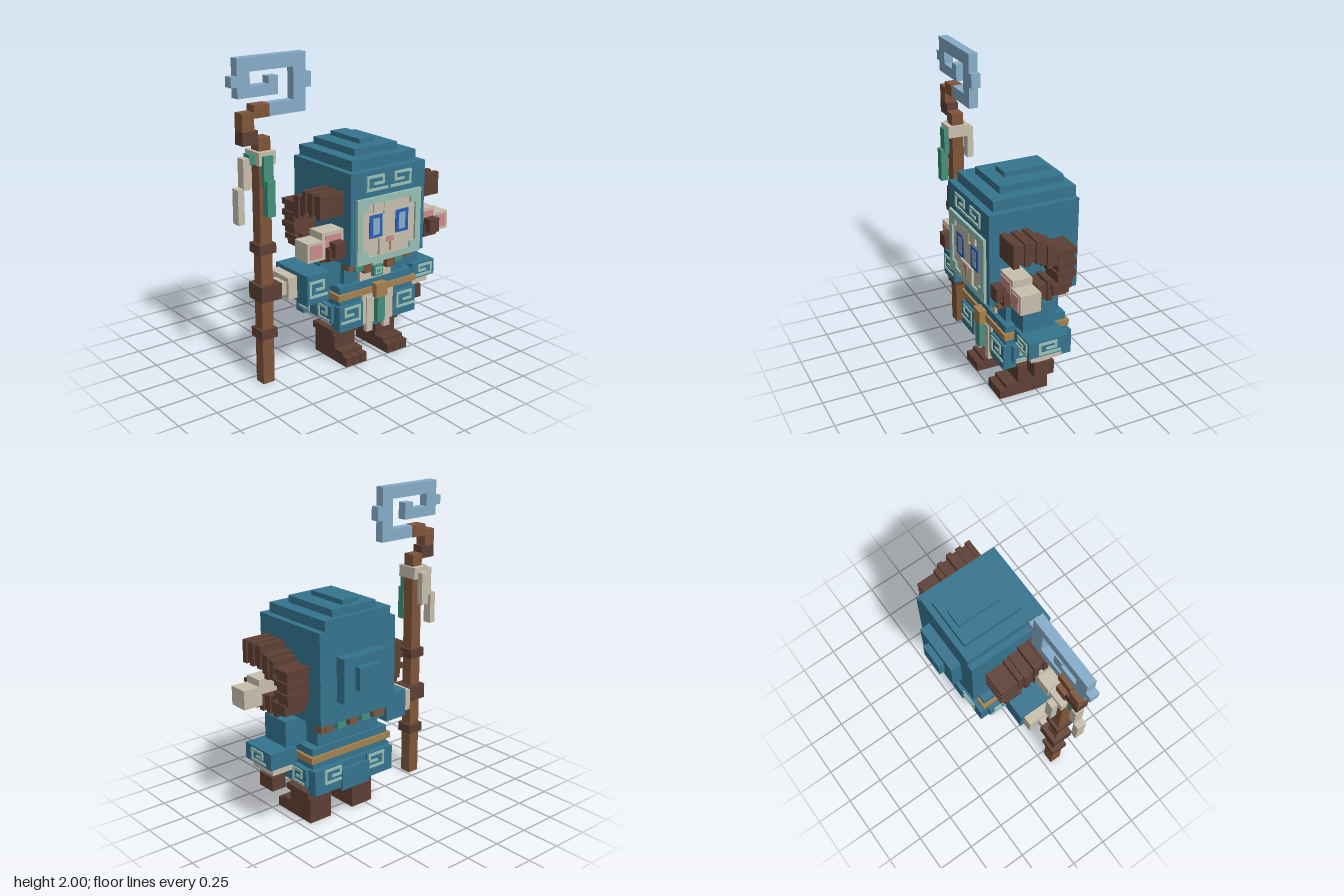
import * as THREE from 'three';

const mat = (name, color) => {
  const m = new THREE.MeshStandardMaterial({ color });
  m.name = name;
  return m;
};

export function createModel() {
  const teal = mat('teal cloth', 0x35748f), mint = mat('mint trim', 0x98c0b5);
  const cream = mat('cream', 0xc8c0ae), pink = mat('pink', 0xcb8c8c);
  const dark = mat('dark brown', 0x5e4035), wood = mat('wood brown', 0x805539);
  const green = mat('jade green', 0x43907c), gold = mat('gold', 0xa5824f);
  const sky = mat('light blue', 0x86adc9), royal = mat('royal blue', 0x2a5fb8);

  const model = new THREE.Group();
  model.name = 'hoodedFigureWithStaff';
  const section = (name, x = 0) => {
    const g = new THREE.Group();
    g.name = name;
    g.position.x = x;
    model.add(g);
    return g;
  };
  // Box given by its limits on each axis
  const box = (p, name, m, x0, x1, y0, y1, z0, z1) => {
    const mesh = new THREE.Mesh(new THREE.BoxGeometry(x1 - x0, y1 - y0, z1 - z0), m);
    mesh.name = name;
    mesh.position.set((x0 + x1) / 2, (y0 + y1) / 2, (z0 + z1) / 2);
    p.add(mesh);
  };
  const pair = (p, name, m, x0, x1, ...rest) => {
    box(p, name + 'Left', m, x0, x1, ...rest);
    box(p, name + 'Right', m, -x1, -x0, ...rest);
  };
  // Square spiral made of thin bars, centred on (x, y, z) and turned by angle
  const path = [[0.5, -0.5], [-0.5, -0.5], [-0.5, 0.5], [0.3, 0.5], [0.3, -0.05], [-0.12, -0.05]];
  const swirl = (p, x, y, z, w, h, angle = 0, flip = 1) => {
    const g = new THREE.Group(), t = 0.008;
    g.name = 'swirlTrim';
    g.position.set(x, y, z);
    g.rotation.y = angle;
    for (let i = 0; i < path.length - 1; i++) {
      const [a, b] = path[i], [c, d] = path[i + 1];
      box(g, 'swirlBar', mint, Math.min(a * flip, c * flip) * w - t, Math.max(a * flip, c * flip) * w + t,
        Math.min(b, d) * h - t, Math.max(b, d) * h + t, -0.001, 0.008);
    }
    p.add(g);
  };

  const C = 0.195; // middle of the figure
  const head = section('head', C);
  // Hood with stacked tiers on top and behind
  box(head, 'hood', teal, -0.29, 0.29, 0.71, 1.29, -0.245, 0.335);
  box(head, 'hoodTier', teal, -0.25, 0.25, 1.29, 1.355, -0.245, 0.29);
  box(head, 'hoodTier', teal, -0.167, 0.167, 1.355, 1.4, -0.207, 0.21);
  box(head, 'hoodTip', teal, -0.06, 0.06, 1.4, 1.43, -0.17, 0.125);
  box(head, 'hoodBackTier', teal, -0.167, 0.167, 0.845, 1.125, -0.315, -0.245);
  box(head, 'hoodBackTip', teal, -0.083, 0.083, 0.92, 1.065, -0.355, -0.315);
  for (const s of [1, -1]) swirl(head, s * 0.092, 1.21, 0.336, 0.15, 0.08, 0, -s);

  // Face opening frame
  pair(head, 'faceFrameSide', mint, 0.207, 0.25, 0.71, 1.125, 0.33, 0.353);
  box(head, 'faceFrameTop', mint, -0.207, 0.207, 1.085, 1.125, 0.33, 0.353);
  box(head, 'faceFrameBottom', mint, -0.207, 0.207, 0.71, 0.75, 0.33, 0.353);
  pair(head, 'faceFrameCorner', mint, 0.165, 0.207, 1.04, 1.085, 0.33, 0.353);
  pair(head, 'faceFrameCorner', mint, 0.165, 0.207, 0.75, 0.79, 0.33, 0.353);
  // Face
  box(head, 'face', cream, -0.207, 0.207, 0.75, 1.085, 0.33, 0.34);
  box(head, 'brow', cream, -0.125, 0.125, 1.03, 1.085, 0.335, 0.35);
  box(head, 'browCentre', cream, -0.045, 0.045, 1.01, 1.085, 0.335, 0.354);
  box(head, 'muzzle', cream, -0.083, 0.083, 0.75, 0.858, 0.335, 0.355);
  box(head, 'nose', pink, -0.03, 0.03, 0.828, 0.86, 0.35, 0.36);
  box(head, 'mouthLine', gold, -0.007, 0.007, 0.765, 0.828, 0.35, 0.358);
  pair(head, 'eye', royal, 0.053, 0.153, 0.865, 1.01, 0.339, 0.346);
  pair(head, 'iris', sky, 0.077, 0.127, 0.885, 0.99, 0.345, 0.349);

  // Ears
  pair(head, 'innerEar', cream, 0.29, 0.45, 0.81, 0.94, 0.14, 0.265);
  pair(head, 'innerEarPink', pink, 0.31, 0.43, 0.825, 0.92, 0.264, 0.273);
  pair(head, 'earTip', cream, 0.43, 0.56, 0.775, 0.895, 0.14, 0.27);
  pair(head, 'earTipPink', pink, 0.458, 0.54, 0.795, 0.88, 0.269, 0.278);

  // Curled ribbed horns: outer x, then y and z limits of each rib
  const rib = (x, ...r) => pair(head, 'hornRib', dark, 0.29, x, ...r);
  for (let i = 0; i < 8; i++) {
    const z = 0.27 - i * 0.036, drop = i < 5 ? 0 : 0.035 + (i - 5) * 0.01, odd = i % 2 * 0.012;
    rib(0.47 - odd, 1.025 - drop + odd, 1.17 - drop - odd, z - 0.036, z);
  }
  for (let i = 0; i < 8; i++) {
    const y = 1.065 - i * 0.036, odd = i % 2 * 0.012, shift = i > 5 ? 0.03 : 0;
    rib(0.455 - odd, y - 0.036, y, -0.147 + odd + shift, -0.02 - odd + shift);
  }
  for (let i = 0; i < 8; i++) {
    const z = 0.03 + i * 0.034, odd = i % 2 * 0.012;
    rib(0.43 - odd, 0.74 + odd, 0.87 - odd - i * 0.006, z - 0.034, z);
  }
  pair(head, 'hornTip', dark, 0.32, 0.43, 0.77, 0.85, 0.268, 0.31);
  pair(head, 'hornTip', dark, 0.335, 0.415, 0.8, 0.89, 0.29, 0.35);

  const body = section('body', C);
  // Torso, tunic and belt
  box(body, 'torso', teal, -0.24, 0.24, 0.46, 0.72, -0.15, 0.205);
  box(body, 'tunicFront', cream, -0.125, 0.125, 0.46, 0.71, 0.19, 0.222);
  box(body, 'collar', mint, -0.095, 0.095, 0.63, 0.71, 0.2, 0.23);
  box(body, 'belt', gold, -0.315, 0.315, 0.46, 0.5, -0.187, 0.25);
  box(body, 'buckle', gold, -0.045, 0.045, 0.435, 0.525, 0.24, 0.29);
  box(body, 'sash', green, -0.03, 0.03, 0.265, 0.435, 0.25, 0.285);
  // Stepped skirt
  box(body, 'skirtTop', teal, -0.295, 0.295, 0.4, 0.545, -0.17, 0.235);
  box(body, 'skirtBand', teal, -0.305, 0.305, 0.3, 0.415, -0.195, 0.245);
  pair(body, 'skirtSide', teal, 0.125, 0.335, 0.305, 0.415, -0.15, 0.2);
  pair(body, 'skirtFrontPanel', teal, 0.125, 0.31, 0.255, 0.42, 0.17, 0.255);
  pair(body, 'skirtBackPanel', teal, 0.1, 0.31, 0.255, 0.415, -0.21, -0.13);
  box(body, 'skirtBackCentre', teal, -0.11, 0.11, 0.235, 0.375, -0.222, -0.14);
  box(body, 'skirtFrontCentre', teal, -0.05, 0.05, 0.235, 0.3, 0.17, 0.245);
  box(body, 'tunicLower', cream, -0.125, 0.125, 0.26, 0.46, 0.2, 0.249);
  pair(body, 'tunicStrip', cream, 0.045, 0.095, 0.205, 0.44, 0.225, 0.256);
  for (const s of [1, -1]) {
    swirl(body, s * 0.225, 0.36, 0.255, 0.14, 0.09, 0, s);
    swirl(body, s * 0.16, 0.36, -0.21, 0.14, 0.08, Math.PI, s);
    for (const z of [0.125, -0.08]) swirl(body, s * 0.335, 0.36, z, 0.1, 0.08, s * Math.PI / 2, z > 0 ? -s : s);
  }

  // Bead collar front and back, with pendant
  [[0.185, 0.65, wood], [0.125, 0.63, green], [0.06, 0.608, wood]].forEach(([x, y, m]) =>
    pair(body, 'bead', m, x, x + 0.063, y, y + 0.063, 0.19, 0.262));
  for (let i = -2; i <= 2; i++)
    box(body, 'backBead', i % 2 ? green : wood, i * 0.095 - 0.032, i * 0.095 + 0.032, 0.645, 0.71, -0.205, -0.14);
  pair(body, 'sideBead', wood, 0.21, 0.255, 0.645, 0.71, -0.2, -0.14);
  box(body, 'pendant', green, -0.037, 0.037, 0.565, 0.635, 0.2, 0.25);
  box(body, 'pendantRing', mint, -0.024, 0.024, 0.578, 0.622, 0.249, 0.255);
  box(body, 'pendantStone', green, -0.012, 0.012, 0.59, 0.61, 0.254, 0.259);

  // Lowered left arm
  const leftArm = section('leftArm', C);
  box(leftArm, 'upperArm', teal, 0.22, 0.395, 0.54, 0.71, -0.04, 0.17);
  box(leftArm, 'sleeve', teal, 0.335, 0.525, 0.44, 0.545, -0.065, 0.195);
  box(leftArm, 'cuff', cream, 0.35, 0.495, 0.39, 0.44, -0.04, 0.165);
  box(leftArm, 'wrist', cream, 0.39, 0.455, 0.345, 0.39, 0.02, 0.11);
  box(leftArm, 'hand', dark, 0.375, 0.475, 0.265, 0.355, 0, 0.13);
  swirl(leftArm, 0.43, 0.492, 0.195, 0.13, 0.065, 0, -1);
  swirl(leftArm, 0.525, 0.492, 0.06, 0.13, 0.065, Math.PI / 2);

  // Raised right arm holding the staff
  const rightArm = section('rightArm');
  box(rightArm, 'upperArm', teal, -0.2, 0, 0.54, 0.71, -0.04, 0.17);
  box(rightArm, 'sleeve', teal, -0.365, -0.2, 0.505, 0.69, -0.065, 0.265);
  box(rightArm, 'cuff', cream, -0.43, -0.365, 0.525, 0.665, -0.04, 0.16);
  box(rightArm, 'wrist', cream, -0.475, -0.43, 0.555, 0.635, 0.03, 0.14);
  box(rightArm, 'hand', dark, -0.615, -0.473, 0.545, 0.645, 0.015, 0.155);
  swirl(rightArm, -0.285, 0.6, 0.265, 0.12, 0.09);

  // Legs and boots
  const legs = section('legs', C);
  pair(legs, 'leg', cream, 0.08, 0.225, 0.2, 0.31, -0.06, 0.16);
  pair(legs, 'bootCuff', dark, 0.065, 0.27, 0.17, 0.212, -0.082, 0.135);
  pair(legs, 'boot', dark, 0.087, 0.25, 0, 0.175, -0.08, 0.125);
  pair(legs, 'instep', dark, 0.087, 0.25, 0, 0.085, 0.12, 0.205);
  for (const x of [0.087, 0.143, 0.199]) pair(legs, 'toe', dark, x, x + 0.051, 0, 0.062, 0.2, 0.25);

  // Staff
  const staff = section('staff');
  box(staff, 'shaft', wood, -0.595, -0.515, 0, 1.54, 0.045, 0.123);
  for (const y of [0.84, 0.298]) box(staff, 'staffBand', dark, -0.612, -0.498, y, y + 0.06, 0.028, 0.14);
  box(staff, 'staffJoint', dark, -0.7, -0.595, 1.505, 1.585, 0.045, 0.123);
  box(staff, 'staffBend', wood, -0.7, -0.62, 1.585, 1.69, 0.045, 0.123);
  box(staff, 'staffArm', wood, -0.62, -0.515, 1.655, 1.73, 0.045, 0.123);
  // Spiral head of the staff: x and y limits of each bar
  [[-0.515, -0.26, 1.655, 1.73], [-0.345, -0.26, 1.73, 1.92], [-0.72, -0.26, 1.92, 2],
    [-0.72, -0.637, 1.775, 1.92], [-0.637, -0.45, 1.775, 1.84], [-0.515, -0.45, 1.84, 1.882],
    [-0.76, -0.72, 1.84, 1.9], [-0.26, -0.222, 1.793, 1.882]]
    .forEach(r => box(staff, 'spiralBar', sky, ...r, 0.055, 0.115));
  // Cloth wrap and hanging ribbons
  box(staff, 'wrap', cream, -0.615, -0.5, 1.385, 1.462, 0.01, 0.155);
  box(staff, 'greenRibbon', green, -0.595, -0.53, 1.27, 1.44, 0.14, 0.175);
  box(staff, 'greenRibbonEnd', green, -0.59, -0.535, 1.085, 1.3, 0.15, 0.198);
  box(staff, 'sideKnot', green, -0.655, -0.61, 1.39, 1.45, 0.055, 0.115);
  box(staff, 'sideRibbon', cream, -0.695, -0.648, 1.245, 1.43, 0.055, 0.115);
  box(staff, 'sideRibbonEnd', cream, -0.735, -0.693, 1.045, 1.255, 0.055, 0.115);
  box(staff, 'backRibbon', cream, -0.585, -0.53, 1.22, 1.43, -0.03, 0.012);

  return model;
}
